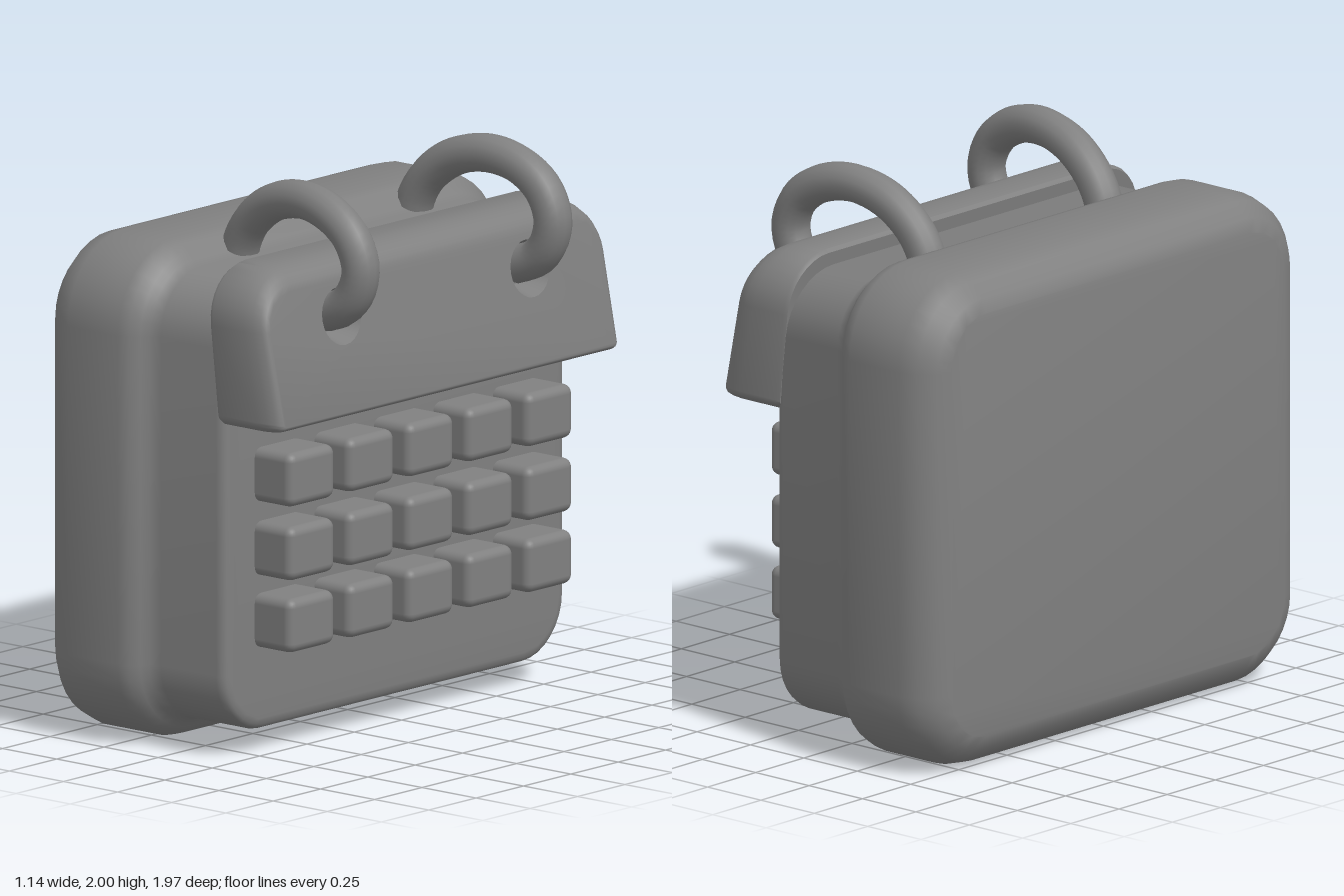
import * as THREE from 'three';
import { toCreasedNormals } from 'three/addons/utils/BufferGeometryUtils.js';
import { RoundedBoxGeometry } from 'three/addons/geometries/RoundedBoxGeometry.js';

// Rounded rectangle outline in (-z, y), counter-clockwise seen from +x
function outline(half, y0, y1, rBottom, rTop) {
  const pts = [], steps = 8;
  const corners = [[1, y0, rBottom, -1], [1, y1, rTop, 0], [-1, y1, rTop, 1], [-1, y0, rBottom, 2]];
  for (const [side, y, r, quarter] of corners) {
    const cx = side * (half - r), cy = y === y0 ? y + r : y - r;
    for (let i = 0; i <= steps; i++) {
      const a = (quarter + i / steps) * Math.PI / 2;
      pts.push(new THREE.Vector2(cx + r * Math.cos(a), cy + r * Math.sin(a)));
    }
  }
  return pts;
}

// Closed loft along x; each layer is { pts, x(y) }, the front cap may have holes
function loft(layers, holes = []) {
  const pos = [];
  const put = (layer, p) => pos.push(layer.x(p.y), p.y, -p.x);
  for (let k = 0; k + 1 < layers.length; k++) {
    const A = layers[k], B = layers[k + 1], n = A.pts.length;
    for (let i = 0; i < n; i++) {
      const j = (i + 1) % n;
      put(A, A.pts[i]); put(A, A.pts[j]); put(B, B.pts[j]);
      put(A, A.pts[i]); put(B, B.pts[j]); put(B, B.pts[i]);
    }
  }
  const cap = (layer, cuts, flip) => {
    const all = [layer.pts, ...cuts].flat();
    for (const f of THREE.ShapeUtils.triangulateShape(layer.pts, cuts)) {
      for (const i of flip ? [f[0], f[2], f[1]] : f) put(layer, all[i]);
    }
  };
  cap(layers[0], [], true);
  cap(layers[layers.length - 1], holes, false);
  const geo = new THREE.BufferGeometry();
  geo.setAttribute('position', new THREE.Float32BufferAttribute(pos, 3));
  return toCreasedNormals(geo, 0.7);
}

export function createModel() {
  const group = new THREE.Group();
  const grey = new THREE.MeshStandardMaterial({ color: 0x808080 });
  grey.name = 'grey';
  const add = (name, geo, material = grey) => {
    const mesh = new THREE.Mesh(geo, material);
    mesh.name = name;
    group.add(mesh);
    return mesh;
  };

  // Body: thick back case stepping in to the front panel, as [x, inset]
  const bodyProfile = [
    [-0.57, 0.12], [-0.55, 0.07], [-0.5, 0.02], [-0.43, 0], [-0.2, 0], [-0.16, 0.012], [-0.13, 0.04],
    [-0.11, 0.065], [-0.07, 0.08], [0.185, 0.08], [0.205, 0.087], [0.216, 0.1], [0.22, 0.12],
  ];
  add('body', loft(bodyProfile.map(([x, d]) => ({
    pts: outline(0.985 - d, d, 1.77 - d, 0.3 - d, 0.3 - d), x: () => x,
  }))));

  // Header flap: sloping front, rounded top corners, two ring holes
  const front = y => 0.475 - (y - 1.22) * 0.2;
  const back = y => 0.2 - (y - 1.2) * 0.11;
  const holeY = 1.55, holeR = 0.1, holeZ = [0.5, -0.495];
  const flapLayer = (x, d, low) => ({
    pts: outline(0.912 - d * 0.5, 1.2 + low, 1.75 - d, 0.035 - low, 0.2 - d), x,
  });
  const circle = (z, r) => Array.from({ length: 24 }, (_, i) => {
    const a = -i / 24 * Math.PI * 2;
    return new THREE.Vector2(-z + r * Math.cos(a), holeY + r * Math.sin(a));
  });
  add('headerFlap', loft([
    flapLayer(y => back(y), 0.012, 0.01),
    flapLayer(y => back(y) + 0.015, 0, 0),
    flapLayer(y => front(y) - 0.09, 0, 0),
    flapLayer(y => front(y) - 0.05, 0.01, 0.002),
    flapLayer(y => front(y) - 0.02, 0.028, 0.006),
    flapLayer(y => front(y) - 0.005, 0.05, 0.014),
    flapLayer(y => front(y), 0.075, 0.022),
  ], holeZ.map(z => circle(z, holeR))));

  // Tapered sockets inside the ring holes
  for (const z of holeZ) {
    const pos = [], rim = circle(z, holeR), floor = circle(z, 0.07);
    const put = (p, depth) => pos.push(front(p.y) - depth, p.y, -p.x);
    const centre = new THREE.Vector2(-z, holeY);
    rim.forEach((p, i) => {
      const j = (i + 1) % rim.length;
      put(p, 0); put(floor[i], 0.09); put(floor[j], 0.09);
      put(p, 0); put(floor[j], 0.09); put(rim[j], 0);
      put(centre, 0.09); put(floor[j], 0.09); put(floor[i], 0.09);
    });
    const geo = new THREE.BufferGeometry();
    geo.setAttribute('position', new THREE.Float32BufferAttribute(pos, 3));
    const socketMaterial = grey;
    socketMaterial.side = THREE.DoubleSide;
    add('ringSocket', toCreasedNormals(geo, 0.7), socketMaterial);
  }

  // Binding rings: from the back case, over the top, into the sockets
  const ringPath = [
    [-0.13, 1.64], [-0.1, 1.74], [-0.04, 1.825], [0.07, 1.9], [0.22, 1.932], [0.36, 1.905],
    [0.46, 1.835], [0.502, 1.74], [0.485, 1.655], [0.43, 1.59], [0.33, 1.55],
  ];
  for (const [zBack, zFront] of [[0.435, 0.505], [-0.48, -0.51]]) {
    const curve = new THREE.CatmullRomCurve3(ringPath.map(([x, y]) =>
      new THREE.Vector3(x, y, THREE.MathUtils.lerp(zBack, zFront, Math.min(1, (x + 0.13) / 0.55)))));
    add('bindingRing', new THREE.TubeGeometry(curve, 40, 0.068, 14));
  }

  // Day keys: three rows of five rounded blocks
  for (const y of [0.995, 0.732, 0.475]) {
    for (let i = 0; i < 5; i++) {
      add('dayKey', new RoundedBoxGeometry(0.21, 0.192, 0.243, 3, 0.033))
        .position.set(0.282, y, 0.62 - i * 0.314);
    }
  }
  return group;
}
